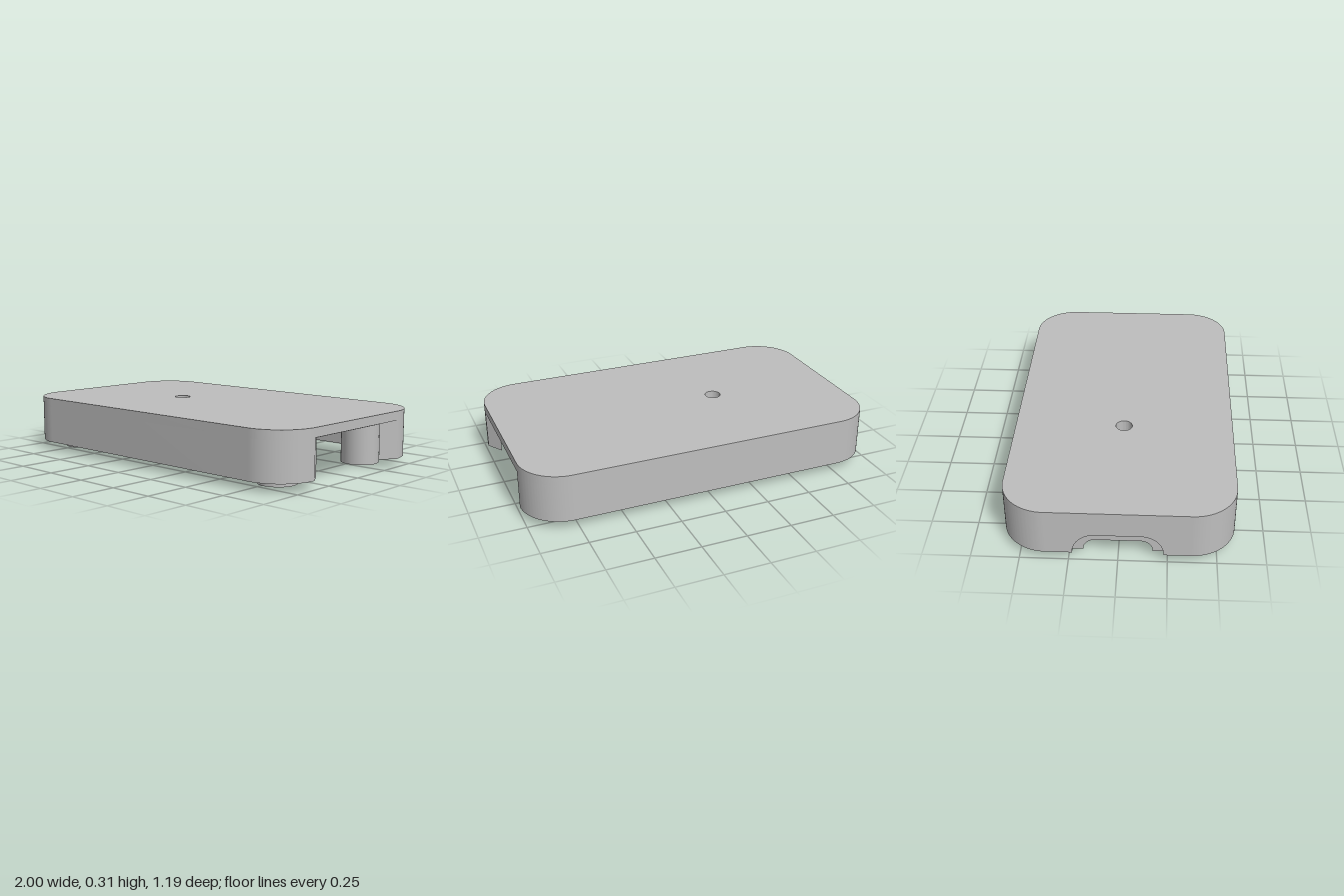
import * as THREE from 'three';
import { toCreasedNormals } from 'three/addons/utils/BufferGeometryUtils.js';

const W = 1, D = 0.597, R = 0.23;          // half length, half depth, corner radius
const T = 0.057;                           // wall thickness
const Y0 = 0.046, YC = 0.24, YN = 0.258, Y1 = 0.308; // rim, ceiling, notch top, lid top
const NOTCH = 0.28, END = 0.3;             // half widths of the notch and of the arched end wall

const plastic = new THREE.MeshStandardMaterial({ color: 0xbebebe });
plastic.name = 'greyPlastic';

function addMesh(group, name, geometry) {
  const mesh = new THREE.Mesh(toCreasedNormals(geometry, 0.5), plastic);
  mesh.name = name;
  group.add(mesh);
  return mesh;
}

// Extrude a plan shape upwards from y0 to y1
function slab(shape, y0, y1) {
  return new THREE.ExtrudeGeometry(shape, { depth: y1 - y0, bevelEnabled: false, curveSegments: 24 })
    .rotateX(-Math.PI / 2).translate(0, y0, 0);
}

function roundedPlan(w, d, r) {
  const s = new THREE.Shape();
  s.absarc(w - r, d - r, r, 0, Math.PI / 2);
  s.absarc(r - w, d - r, r, Math.PI / 2, Math.PI);
  s.absarc(r - w, r - d, r, Math.PI, Math.PI * 1.5);
  s.absarc(w - r, r - d, r, Math.PI * 1.5, Math.PI * 2);
  s.closePath();
  return s;
}

function circleHole(x, y, r) {
  return new THREE.Path().absarc(x, y, r, 0, Math.PI * 2, true);
}

// C-shaped side wall running from the notch round to the arched end
function sideWallPlan(k) {
  const s = new THREE.Shape(), q = Math.PI / 2, cx = W - R, cy = k * (D - R), r = R - T;
  s.moveTo(W, k * NOTCH);
  s.absarc(cx, cy, R, 0, k * q, k < 0);
  s.absarc(-cx, cy, R, k * q, k * 2 * q, k < 0);
  s.lineTo(-W, k * END);
  s.lineTo(T - W, k * END);
  s.absarc(-cx, cy, r, k * 2 * q, k * q, k > 0);
  s.absarc(cx, cy, r, k * q, 0, k > 0);
  s.lineTo(W - T, k * NOTCH);
  s.closePath();
  return s;
}

// Layer of the end wall with an arched opening at the rim
function archedWall(half, top, r, x, depth) {
  const s = new THREE.Shape();
  s.moveTo(-END, Y0);
  s.lineTo(-half, Y0);
  s.absarc(r - half, top - r, r, Math.PI, Math.PI / 2, true);
  s.absarc(half - r, top - r, r, Math.PI / 2, 0, true);
  s.lineTo(half, Y0);
  s.lineTo(END, Y0);
  s.lineTo(END, YN);
  s.lineTo(-END, YN);
  s.closePath();
  return new THREE.ExtrudeGeometry(s, { depth, bevelEnabled: false, curveSegments: 16 })
    .rotateY(Math.PI / 2).translate(x, 0, 0);
}

export function createModel() {
  const model = new THREE.Group();
  model.name = 'enclosureLid';

  // Top plate and the thinner inner ceiling, both pierced by the small hole
  const top = roundedPlan(W, D, R);
  top.holes.push(circleHole(-0.267, 0, 0.045));
  addMesh(model, 'topPlate', slab(top, YN, Y1));
  const ceiling = roundedPlan(W - T, D - T, R - T);
  ceiling.holes.push(circleHole(-0.267, 0, 0.045));
  addMesh(model, 'ceiling', slab(ceiling, YC, YN));

  // Side walls
  for (const k of [1, -1]) {
    addMesh(model, k > 0 ? 'backWall' : 'frontWall', slab(sideWallPlan(k), Y0, YN));
  }

  // End wall with a stepped cable arch, wider on the outside
  addMesh(model, 'cableArchOuter', archedWall(0.23, 0.165, 0.115, -W, T / 2));
  addMesh(model, 'cableArchInner', archedWall(0.175, 0.11, 0.06, -W + T / 2, T / 2));

  // Hollow screw posts
  const post = [[0.04, YC], [0.04, 0], [0.105, 0], [0.105, YC]].map(p => new THREE.Vector2(...p));
  for (const x of [-0.765, 0.765]) {
    for (const z of [-0.363, 0.363]) {
      addMesh(model, 'screwPost', new THREE.LatheGeometry(post, 40)).position.set(x, 0, z);
    }
  }
  return model;
}
